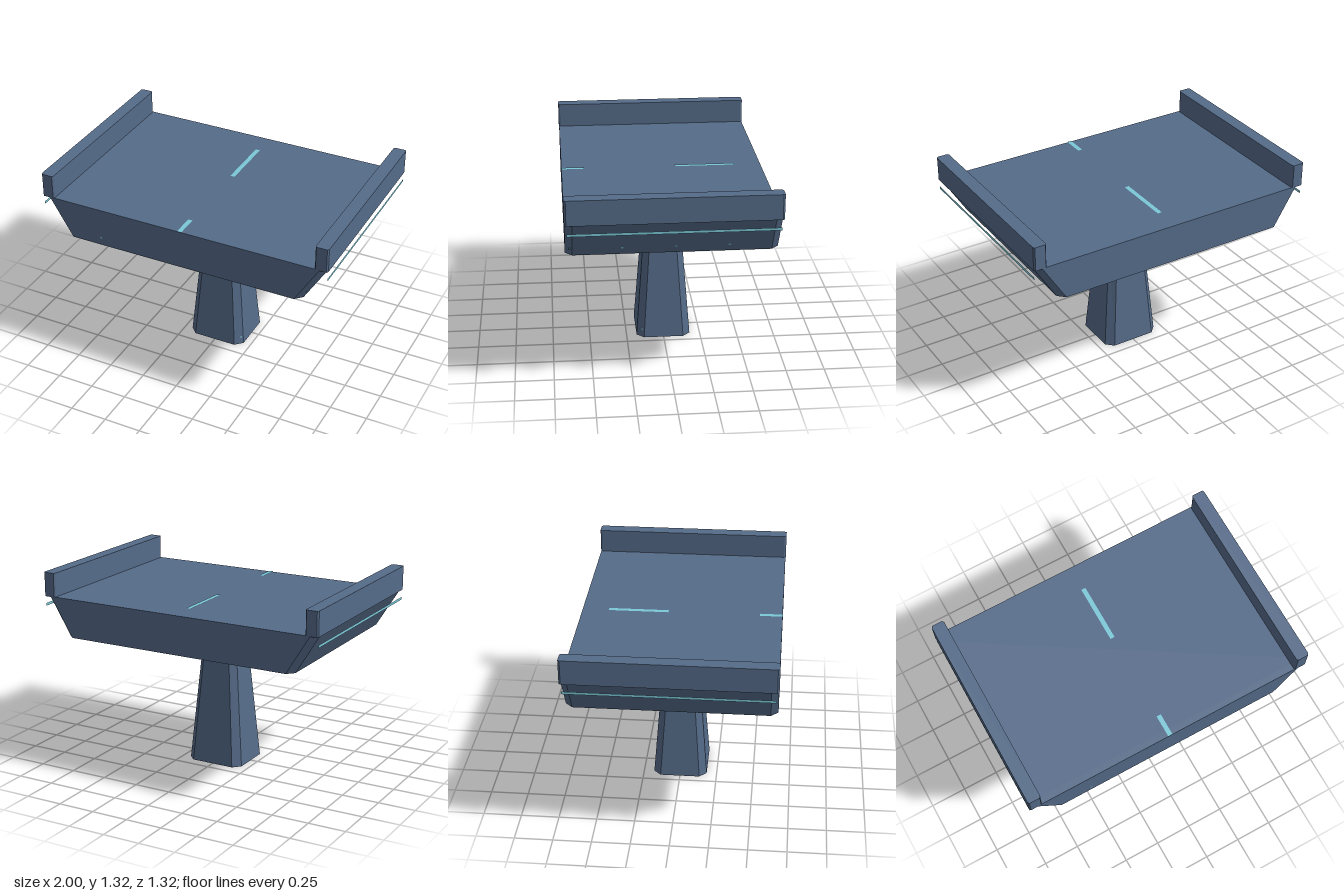
import * as THREE from 'three';

const concrete = new THREE.MeshStandardMaterial({ color: 0x556b89 });
concrete.name = 'blueGreyConcrete';
concrete.flatShading = true;
const glow = new THREE.MeshStandardMaterial({ color: 0x7cc8d8, side: THREE.DoubleSide });
glow.name = 'cyanMarking';

// Rectangle with cut corners: half width, half depth, corner cut in x and z
function ring([w, d, cx, cz], y) {
  return [
    [w, d - cz], [w - cx, d], [cx - w, d], [-w, d - cz],
    [-w, cz - d], [cx - w, -d], [w - cx, -d], [w, cz - d],
  ].map(([x, z]) => new THREE.Vector3(x, y, z));
}

// Closed block between two cut-corner rectangles
function taperedBlock(name, low, y0, high, y1) {
  const a = ring(low, y0), b = ring(high, y1), points = [];
  for (let i = 0; i < 8; i++) {
    const j = (i + 1) % 8;
    points.push(a[i], b[j], a[j], a[i], b[i], b[j]);
    if (i > 0 && i < 7) points.push(a[0], a[i], a[j], b[0], b[j], b[i]);
  }
  const geometry = new THREE.BufferGeometry().setFromPoints(points);
  geometry.computeVertexNormals();
  const mesh = new THREE.Mesh(geometry, concrete);
  mesh.name = name;
  return mesh;
}

// Flat painted or lit plate
function plate(name, width, height, x, y, z, rx = 0, ry = 0, rz = 0) {
  const mesh = new THREE.Mesh(new THREE.PlaneGeometry(width, height), glow);
  mesh.name = name;
  mesh.position.set(x, y, z);
  mesh.rotation.set(rx, ry, rz, 'ZYX');
  return mesh;
}

export function createModel() {
  const model = new THREE.Group();
  model.name = 'elevatedRoadSegment';

  // Pier, flared cap and road deck
  model.add(
    taperedBlock('pier', [0.198, 0.181, 0.048, 0.048], 0, [0.132, 0.124, 0.038, 0.04], 0.76),
    taperedBlock('pierCap', [0.17, 0.148, 0.025, 0.006], 0.76, [0.725, 0.148, 0.025, 0.006], 0.9),
    taperedBlock('deck', [0.83, 0.66, 0.045, 0.045], 0.9, [0.99, 0.66, 0.045, 0.045], 1.16),
  );

  // Side barriers with a light strip below each
  for (const side of [-1, 1]) {
    const name = side > 0 ? 'left' : 'right';
    const rail = [0.0435, 0.662, 0.008, 0.012];
    const barrier = taperedBlock(name + 'Barrier', rail, 1.158, rail, 1.32);
    barrier.position.x = side * 0.954;
    model.add(barrier);
    model.add(plate(name + 'LightStrip', 1.296, 0.018, side * 0.994, 1.098, 0, 0, side * Math.PI / 2));
  }

  // Centre line dashes
  for (const [z0, z1] of [[-0.485, -0.09], [0.51, 0.66]]) {
    model.add(plate('laneDash', 0.03, z1 - z0, 0, 1.164, (z0 + z1) / 2, -Math.PI / 2));
  }

  // Tiny marker lights on the deck side, deck front and pier
  const lean = Math.atan2(0.16, 0.26);
  for (const z of [0.63, 0.31, -0.02, -0.35]) {
    const x = z > 0.6 ? 0.854 : 0.866;
    model.add(plate('deckLight', 0.016, 0.012, x, 0.955, z, 0, Math.PI / 2, -lean));
  }
  model.add(plate('frontLight', 0.012, 0.012, -0.57, 0.955, 0.662));
  for (const [x, y, z] of [[0.123, 0.725, 0.095], [0.148, 0.39, 0.12], [0.184, 0.055, 0.145]]) {
    model.add(plate('pierLight', 0.014, 0.01, x, y, z, 0, Math.PI / 4));
  }
  return model;
}
